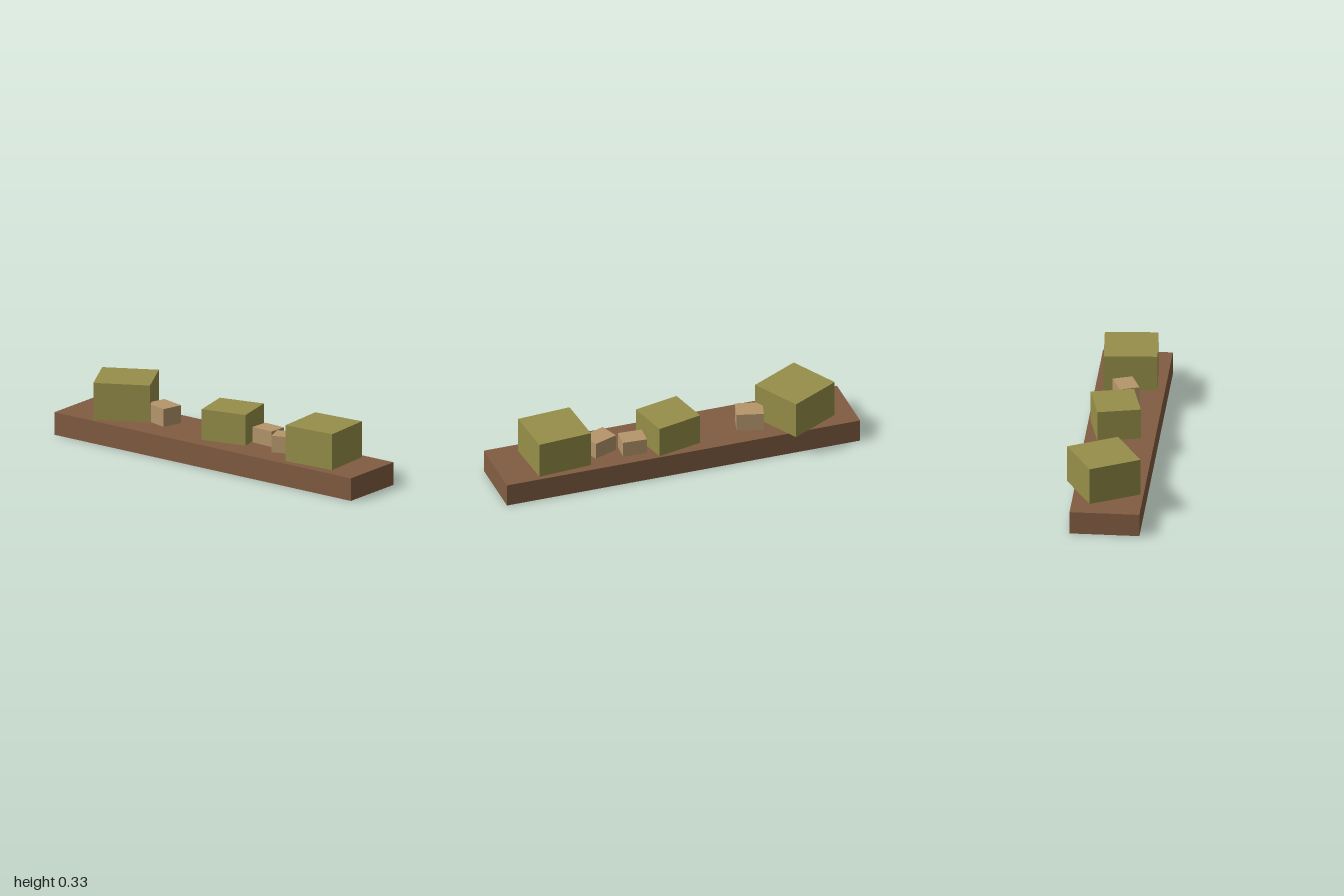
import * as THREE from 'three';

const material = (name, color) => {
  const m = new THREE.MeshStandardMaterial({ color, side: THREE.DoubleSide });
  m.name = name;
  return m;
};

// Box without its underside, standing on y = 0
function openBox(w, h, d) {
  const geo = new THREE.BoxGeometry(w, h, d).translate(0, h / 2, 0);
  const index = Array.from(geo.index.array);
  index.splice(18, 6); // the bottom face
  geo.setIndex(index);
  geo.clearGroups();
  return geo;
}

export function createModel() {
  const model = new THREE.Group();
  model.name = 'plankWithBlocks';

  const brown = material('brown', 0x825d42);
  const olive = material('olive', 0x968f49);
  const tan = material('tan', 0xb5966b);
  const baseTop = 0.126;

  const add = (name, mat, [w, h, d], [x, y, z], turn = 0) => {
    const mesh = new THREE.Mesh(openBox(w, h, d), mat);
    mesh.name = name;
    mesh.position.set(x, y, z);
    mesh.rotation.y = turn;
    model.add(mesh);
  };

  // Long hollow base
  add('base', brown, [2, baseTop, 0.375], [0, 0, 0.0245]);

  // Large blocks: width, height, depth, x, z, turn
  [
    [0.307, 0.206, 0.296, -0.685, -0.007, 0.495],
    [0.258, 0.171, 0.235, 0.034, -0.008, 0.23],
    [0.3, 0.2, 0.288, 0.668, 0.018, 0.07],
  ].forEach(([w, h, d, x, z, turn], i) =>
    add(`largeBlock${i + 1}`, olive, [w, h, d], [x, baseTop, z], turn));

  // Small blocks between them
  [
    [0.147, 0.099, 0.119, -0.428, -0.005, -0.26],
    [0.133, 0.086, 0.104, 0.248, -0.043, -0.06],
    [0.14, 0.092, 0.11, 0.416, 0.013, 0.36],
  ].forEach(([w, h, d, x, z, turn], i) =>
    add(`smallBlock${i + 1}`, tan, [w, h, d], [x, baseTop, z], turn));

  return model;
}
